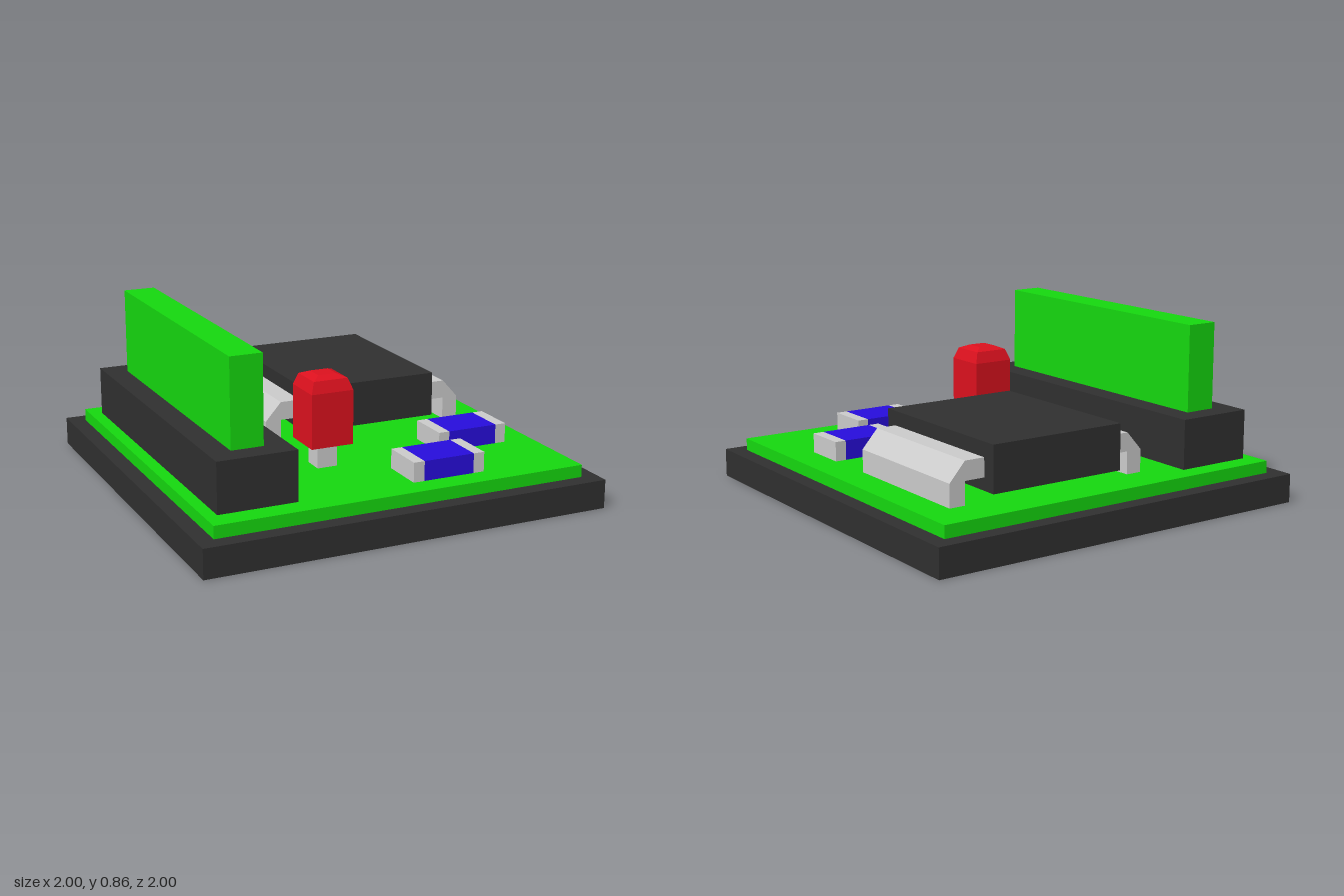
import * as THREE from 'three';

const mat = (color) => new THREE.MeshStandardMaterial({ color, flatShading: true });

export function createModel() {
  const model = new THREE.Group();
  const black = mat(0x303030), green = mat(0x15d80f), grey = mat(0xcccccc);
  const blue = mat(0x270ddc), red = mat(0xdc111e);

  function add(name, geometry, material, parent = model) {
    const mesh = new THREE.Mesh(geometry, material);
    mesh.name = name;
    parent.add(mesh);
    return mesh;
  }

  // Box given by its limits on each axis
  function box(name, material, [x0, x1], [y0, y1], [z0, z1], parent) {
    const mesh = add(name, new THREE.BoxGeometry(x1 - x0, y1 - y0, z1 - z0), material, parent);
    mesh.position.set((x0 + x1) / 2, (y0 + y1) / 2, (z0 + z1) / 2);
    return mesh;
  }

  // Base tray and circuit board
  box('base', black, [-1, 1], [0, 0.14], [-1, 1]);
  box('circuitBoard', green, [-0.92, 0.92], [0.14, 0.2], [-0.92, 0.92]);

  // Slot with an upright plug-in card
  box('cardSlot', black, [-0.86, -0.48], [0.2, 0.44], [-0.82, 0.81]);
  box('card', green, [-0.75, -0.595], [0.44, 0.86], [-0.71, 0.7]);

  // Chip with one bent lead along each side
  const chip = new THREE.Group();
  chip.name = 'chip';
  model.add(chip);
  box('chipBody', black, [-0.11, 0.59], [0.25, 0.47], [-0.8, 0.07], chip);
  const chipCentre = 0.24;
  for (const side of [1, -1]) {
    const points = [[0.35, 0.4], [0.45, 0.4], [0.53, 0.31], [0.53, 0.2], [0.45, 0.2], [0.45, 0.31], [0.35, 0.31]];
    const shape = new THREE.Shape(points.map(([x, y]) => new THREE.Vector2(side * x, y)));
    const lead = add(side > 0 ? 'leftLead' : 'rightLead',
      new THREE.ExtrudeGeometry(shape, { depth: 0.735, bevelEnabled: false }), grey, chip);
    lead.position.set(chipCentre, 0, -0.73);
  }

  // Square lamp: pin and faceted bulb
  const lamp = new THREE.Group();
  lamp.name = 'lamp';
  lamp.position.set(-0.168, 0, 0.395);
  model.add(lamp);
  box('lampPin', grey, [-0.05, 0.05], [0.2, 0.315], [-0.05, 0.05], lamp);
  const bulb = [[0, 0.315], [0.105, 0.315], [0.105, 0.575], [0.085, 0.63], [0.045, 0.647], [0, 0.647]]
    .map(([half, y]) => new THREE.Vector2(half * Math.SQRT2, y));
  add('lampBulb', new THREE.LatheGeometry(bulb, 4, Math.PI / 4), red, lamp);

  // Small components with a metal cap at each end
  for (const [x, z] of [[0.592, 0.362], [0.275, 0.695]]) {
    const part = new THREE.Group();
    part.name = 'resistor';
    part.position.set(x, 0, z);
    model.add(part);
    const y = [0.2, 0.295], depth = [-0.11, 0.11];
    box('resistorBody', blue, [-0.128, 0.128], y, depth, part);
    box('rightCap', grey, [-0.183, -0.128], y, depth, part);
    box('leftCap', grey, [0.128, 0.183], y, depth, part);
  }

  return model;
}
